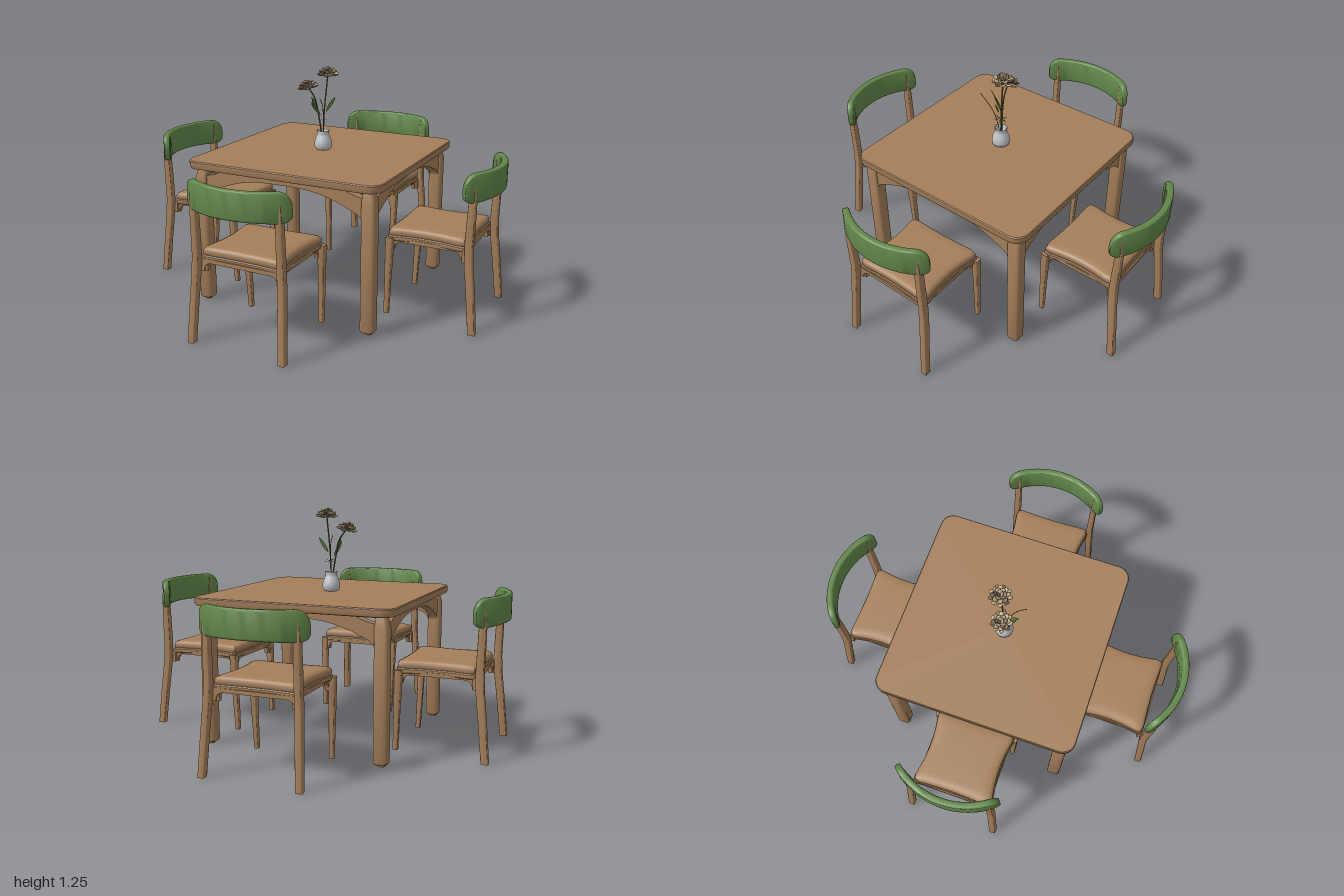
import * as THREE from 'three';
import { toCreasedNormals } from 'three/addons/utils/BufferGeometryUtils.js';

const mat = (name, color, side = THREE.FrontSide) => {
  const m = new THREE.MeshStandardMaterial({ color, side });
  m.name = name;
  return m;
};
const V = (x, y, z) => new THREE.Vector3(x, y, z);

function add(parent, name, geometry, material) {
  const mesh = new THREE.Mesh(geometry, material);
  mesh.name = name;
  parent.add(mesh);
  return mesh;
}

// Skin a stack of equal-length rings and cap both ends
function loft(rings, crease = 0.6) {
  const n = rings[0].length, pos = [], idx = [];
  const centre = r => r.reduce((s, p) => s.add(p), V(0, 0, 0)).divideScalar(n);
  rings.flat().forEach(p => pos.push(p.x, p.y, p.z));
  const last = rings.length - 1, c0 = rings.length * n;
  [rings[0], rings[last]].forEach(r => pos.push(...centre(r).toArray()));
  for (let j = 0; j < n; j++) {
    const k = (j + 1) % n;
    for (let i = 0; i < last; i++) {
      const a = i * n + j, b = i * n + k;
      idx.push(a, a + n, b, b, a + n, b + n);
    }
    idx.push(c0, j, k, c0 + 1, last * n + k, last * n + j);
  }
  const g = new THREE.BufferGeometry();
  g.setAttribute('position', new THREE.Float32BufferAttribute(pos, 3));
  g.setIndex(idx);
  return toCreasedNormals(g, crease);
}

// Rounded rectangle as [u, v] pairs
function roundRect(hu, hv, r, n = 4) {
  const out = [];
  [[1, 1], [-1, 1], [-1, -1], [1, -1]].forEach(([su, sv], q) => {
    for (let i = 0; i <= n; i++) {
      const t = (q + i / n) * Math.PI / 2;
      out.push([su * (hu - r) + r * Math.cos(t), sv * (hv - r) + r * Math.sin(t)]);
    }
  });
  return out;
}

// Upright post from stations [x, y, z, halfX, halfZ]
const post = (stations, round = 0.4) => loft(stations.map(([x, y, z, hx, hz]) =>
  roundRect(hx, hz, Math.min(hx, hz) * round).map(([u, v]) => V(x + u, y, z + v))));

// Flat shape in xy, extruded and centred on z
function slab(shape, depth) {
  const g = new THREE.ExtrudeGeometry(shape, { depth, bevelEnabled: false, curveSegments: 12 });
  return toCreasedNormals(g.translate(0, 0, -depth / 2), 0.6);
}

function buildTable(wood) {
  const table = new THREE.Group();
  table.name = 'table';
  const edge = [[0.535, 0.745], [0.546, 0.749], [0.55, 0.76], [0.55, 0.785], [0.546, 0.79]];
  add(table, 'tableTop', loft(edge.map(([h, y]) =>
    roundRect(h, h, 0.07, 8).map(([x, z]) => V(x, y, z)))), wood);

  // Arched apron that leaves a gap under the top beside each leg
  const arch = new THREE.Shape();
  arch.moveTo(-0.47, 0.59);
  arch.lineTo(-0.445, 0.59);
  arch.quadraticCurveTo(-0.44, 0.62, -0.4, 0.635);
  arch.bezierCurveTo(-0.24, 0.71, -0.15, 0.715, 0, 0.715);
  arch.bezierCurveTo(0.15, 0.715, 0.24, 0.71, 0.4, 0.635);
  arch.quadraticCurveTo(0.44, 0.62, 0.445, 0.59);
  arch.lineTo(0.47, 0.59);
  arch.lineTo(0.47, 0.705);
  arch.quadraticCurveTo(0.4, 0.715, 0.34, 0.746);
  arch.lineTo(-0.34, 0.746);
  arch.quadraticCurveTo(-0.4, 0.715, -0.47, 0.705);
  for (let k = 0; k < 4; k++) {
    const side = new THREE.Group();
    side.name = 'tableSide';
    side.rotation.y = k * Math.PI / 2;
    add(side, 'apron', slab(arch, 0.05), wood).position.z = 0.478;
    add(side, 'tableLeg', post([
      [0.48, 0.012, 0.48, 0.03, 0.03], [0.48, 0.022, 0.48, 0.036, 0.036],
      [0.48, 0.69, 0.48, 0.036, 0.036], [0.474, 0.746, 0.474, 0.026, 0.026]], 0.45), wood);
    add(side, 'footPad', new THREE.CylinderGeometry(0.018, 0.018, 0.02, 16), wood)
      .position.set(0.48, 0.01, 0.48);
    table.add(side);
  }
  return table;
}

// Seat outline: a rounded square with pinched sides
function seatRing(scale, y) {
  return Array.from({ length: 64 }, (_, i) => {
    const t = i / 64 * Math.PI * 2, c = Math.cos(t), s = Math.sin(t);
    const r = (c ** 12 + s ** 12) ** (-1 / 12), p = c * r, q = s * r;
    return V(0.238 * p * (1 - 0.13 * (1 - q * q)) * scale, y,
      0.675 + 0.217 * q * (1 - 0.06 * (1 - p * p)) * scale);
  });
}

// Seat rail with rounded brackets into the legs
function rail(half) {
  const s = new THREE.Shape();
  s.moveTo(-half, 0.36);
  s.lineTo(-half + 0.02, 0.36);
  s.quadraticCurveTo(-half + 0.022, 0.402, -half + 0.06, 0.404);
  s.lineTo(half - 0.06, 0.404);
  s.quadraticCurveTo(half - 0.022, 0.402, half - 0.02, 0.36);
  s.lineTo(half, 0.36);
  s.lineTo(half, 0.425);
  s.lineTo(-half, 0.425);
  return slab(s, 0.022);
}

function buildChair(wood, green) {
  const chair = new THREE.Group();
  chair.name = 'chair';
  add(chair, 'seatFrame', loft([[0.97, 0.412], [1, 0.417], [1, 0.435], [0.98, 0.44]]
    .map(a => seatRing(...a))), wood);
  add(chair, 'seatCushion', loft([[0.95, 0.437], [0.975, 0.445], [0.975, 0.462], [0.95, 0.473],
    [0.88, 0.479], [0.7, 0.481], [0.3, 0.481]].map(a => seatRing(...a)), 0.9), wood);

  add(chair, 'frontRail', rail(0.215), wood).position.z = 0.48;
  add(chair, 'backRail', rail(0.225), wood).position.z = 0.876;
  for (const s of [-1, 1]) {
    const side = add(chair, 'sideRail', rail(0.2), wood);
    side.rotation.y = Math.PI / 2;
    side.position.set(s * 0.2, 0, 0.68);
    add(chair, 'frontLeg', post([
      [s * 0.212, 0, 0.467, 0.012, 0.013], [s * 0.218, 0.2, 0.474, 0.015, 0.016],
      [s * 0.221, 0.36, 0.479, 0.018, 0.019], [s * 0.221, 0.43, 0.482, 0.02, 0.02]]), wood);
    add(chair, 'backLeg', post([
      [s * 0.254, 0, 0.944, 0.018, 0.019], [s * 0.245, 0.2, 0.924, 0.018, 0.02],
      [s * 0.237, 0.36, 0.906, 0.018, 0.021], [s * 0.233, 0.45, 0.902, 0.018, 0.021],
      [s * 0.232, 0.6, 0.907, 0.017, 0.02], [s * 0.232, 0.72, 0.91, 0.016, 0.018],
      [s * 0.232, 0.8, 0.908, 0.014, 0.014]]), wood);
  }

  // Bent backrest with rounded ends
  const R = 0.41, span = 0.74, N = 32, rings = [];
  for (let i = 0; i <= N; i++) {
    const t = -Math.cos(i / N * Math.PI), a = t * span;
    const e = Math.max(0, (Math.abs(t) - 0.78) / 0.22);
    const drop = 1 - Math.sqrt(Math.max(0, 1 - e * e));
    const top = 0.825 - 0.07 * drop, bottom = 0.682 - 0.008 * t * t + 0.035 * drop;
    const h = (top - bottom) / 2, thick = 0.018 - 0.005 * drop;
    rings.push(roundRect(h, thick, 0.011).map(([u, v]) => {
      const r = R - v;
      return V(Math.sin(a) * r, (top + bottom) / 2 + u, 0.572 + Math.cos(a) * r);
    }));
  }
  add(chair, 'backrest', loft(rings), green);
  return chair;
}

function buildBouquet(m) {
  const bouquet = new THREE.Group();
  bouquet.name = 'vaseWithFlowers';
  const profile = [[0, 0.79], [0.036, 0.79], [0.046, 0.8], [0.049, 0.82], [0.045, 0.845], [0.034, 0.868],
    [0.031, 0.88], [0.035, 0.896], [0.031, 0.896], [0.027, 0.88], [0.03, 0.86], [0, 0.85]];
  add(bouquet, 'vase', new THREE.LatheGeometry(profile.map(p => new THREE.Vector2(...p)), 28), m.glass)
    .position.x = -0.016;

  const stem = (name, pts, r, material) => add(bouquet, name,
    new THREE.TubeGeometry(new THREE.CatmullRomCurve3(pts.map(p => V(...p))), 16, r, 6), material);
  stem('tallStem', [[-0.016, 0.85, 0], [-0.012, 1, -0.005], [0, 1.2, -0.025]], 0.004, m.stem);
  stem('bentStem', [[-0.02, 0.85, 0], [-0.045, 1.01, 0.01], [-0.06, 1.07, 0.012], [-0.1, 1.13, 0.015]],
    0.004, m.stem);
  stem('twig', [[-0.012, 0.85, 0], [0, 0.98, 0.03], [0.015, 1.05, 0.07], [0.02, 1.09, 0.11]], 0.002, m.rust);

  // Ruffled blooms: tilted petals in rings
  const bloom = (x, y, z, size) => {
    const flower = new THREE.Group();
    flower.name = 'flower';
    [[9, 0.043, 0, 0.25], [8, 0.034, 0.014, 0.45], [6, 0.019, 0.022, 0.7], [3, 0.008, 0.026, 1]]
      .forEach(([n, r, h, tilt], ring) => {
        for (let i = 0; i < n; i++) {
          const holder = new THREE.Group();
          holder.name = 'petalHolder';
          holder.rotation.y = (i + ring * 0.4) / n * Math.PI * 2;
          const petal = add(holder, 'petal', new THREE.SphereGeometry(1, 7, 5),
            (i + ring) % 3 === 0 ? m.darkPetal : m.petal);
          petal.scale.set(0.018, 0.005, 0.015);
          petal.position.set(r, h + 0.004 * Math.sin(i * 2.4), 0);
          petal.rotation.set(0.5 * Math.sin(i * 1.7), 0, tilt);
          flower.add(holder);
        }
      });
    flower.position.set(x, y, z);
    flower.scale.setScalar(size);
    bouquet.add(flower);
    return flower;
  };
  bloom(0, 1.2, -0.025, 1.03);
  bloom(-0.1, 1.128, 0.015, 0.98).rotation.z = 0.2;
  add(bouquet, 'bud', new THREE.SphereGeometry(0.012, 8, 6), m.rust).position.set(-0.125, 1.145, 0.03);

  // Leaves
  const leafShape = new THREE.Shape();
  leafShape.moveTo(0, 0);
  leafShape.quadraticCurveTo(0.18, 0.5, 0, 1);
  leafShape.quadraticCurveTo(-0.18, 0.5, 0, 0);
  const leaf = (at, rot, size, material) => {
    const l = add(bouquet, 'leaf', new THREE.ShapeGeometry(leafShape, 6), material);
    l.position.set(...at);
    l.rotation.set(...rot);
    l.scale.setScalar(size);
  };
  leaf([-0.04, 1, 0.012], [0.7, 1.1, 0], 0.12, m.leaf);
  leaf([-0.03, 0.98, 0.005], [0.65, 0.4, 0.2], 0.11, m.leaf);
  leaf([0, 1, 0], [0.1, 0.4, -0.6], 0.1, m.leaf);
  for (let i = 0; i < 6; i++) leaf([-0.014, 0.955, 0], [1.4, 0, i * Math.PI / 3], 0.04, m.darkPetal);
  return bouquet;
}

export function createModel() {
  const model = new THREE.Group();
  model.name = 'diningSet';
  const wood = mat('wood', 0xa47e5a), green = mat('greenBackrest', 0x62864a);
  model.add(buildTable(wood));
  for (let k = 0; k < 4; k++) {
    const chair = buildChair(wood, green);
    chair.rotation.y = k * Math.PI / 2;
    model.add(chair);
  }
  model.add(buildBouquet({
    glass: mat('paleGlass', 0xbfc2c5),
    stem: mat('stemOlive', 0x66703f),
    leaf: mat('leafGreen', 0x527238, THREE.DoubleSide),
    petal: mat('driedPetal', 0xbda683),
    darkPetal: mat('darkPetal', 0x796750, THREE.DoubleSide),
    rust: mat('rust', 0x9a5a3c),
  }));
  return model;
}
